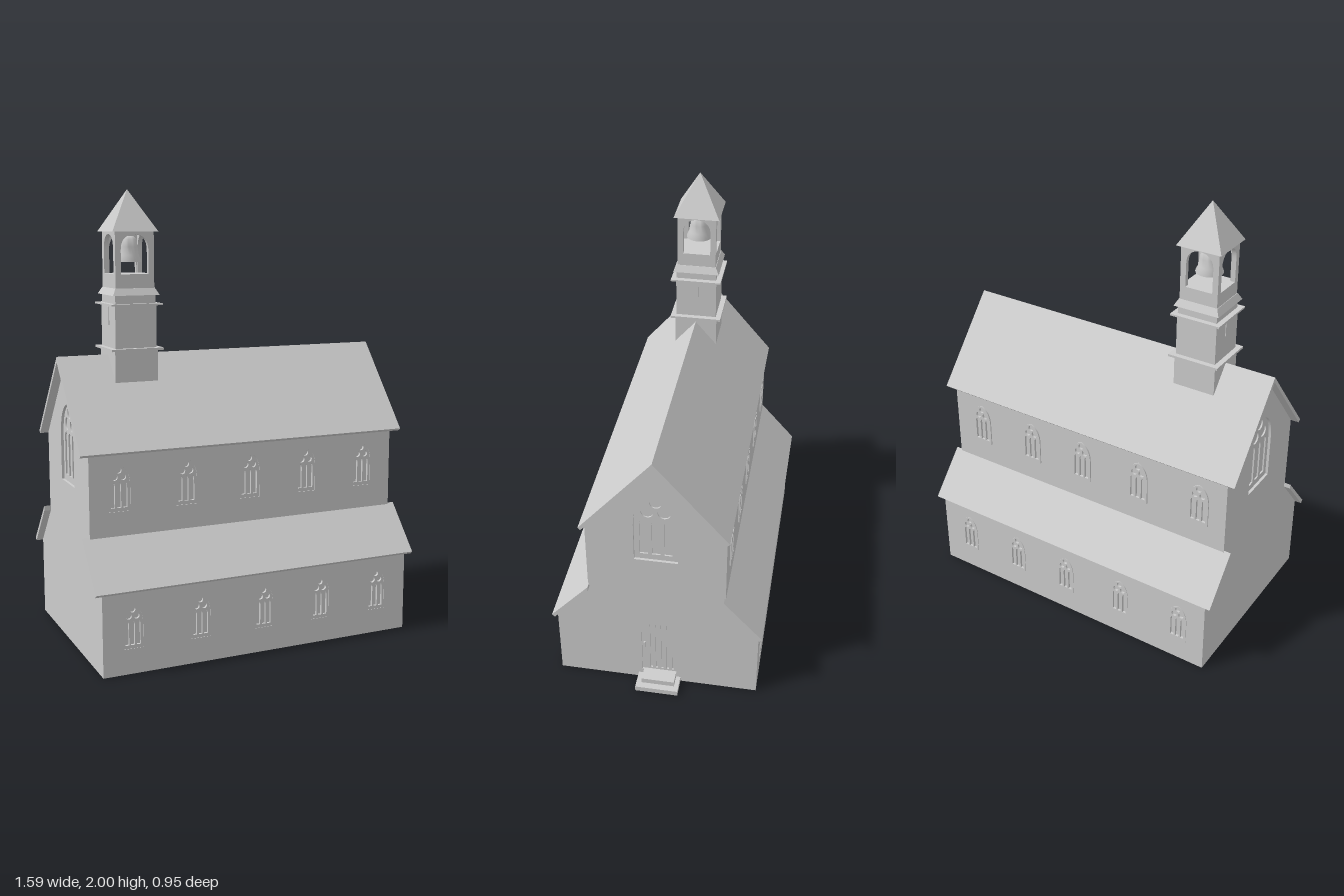
import * as THREE from 'three';
import { toCreasedNormals } from 'three/addons/utils/BufferGeometryUtils.js';

const mat = new THREE.MeshStandardMaterial({ color: 0xcccccc, side: THREE.DoubleSide });
const X0 = -0.757, X1 = 0.70, T = 0.025; // wall ends and wall thickness

function add(parent, name, geo, x = 0, y = 0, z = 0) {
  const m = new THREE.Mesh(geo, mat);
  m.name = name;
  m.position.set(x, y, z);
  parent.add(m);
  return m;
}
function group(parent, name, x = 0, y = 0, z = 0, ry = 0) {
  const g = new THREE.Group();
  g.name = name;
  g.position.set(x, y, z);
  g.rotation.y = ry;
  parent.add(g);
  return g;
}
const box = (w, h, d) => new THREE.BoxGeometry(w, h, d);
const extrude = (shape, depth) => toCreasedNormals(
  new THREE.ExtrudeGeometry(shape, { depth, bevelEnabled: false, curveSegments: 8 }), 0.6);
const poly = pts => new THREE.Shape(pts.map(p => new THREE.Vector2(...p)));
const rect = (x0, y0, x1, y1) => poly([[x0, y0], [x1, y0], [x1, y1], [x0, y1]]);

// Arched outline: centre x, base y, width, height, spring line and crown fullness
function arch(cx, y, w, h, spring = 0.55, full = 0.8) {
  const r = w / 2, s = y + h * spring, top = y + h, c = s + (top - s) * full;
  const p = new THREE.Shape();
  p.moveTo(cx - r, y);
  p.lineTo(cx + r, y);
  p.lineTo(cx + r, s);
  p.quadraticCurveTo(cx + r, c, cx, top);
  p.quadraticCurveTo(cx - r, c, cx - r, s);
  p.closePath();
  return p;
}

// Three lights below three round openings, with a pane behind
function traceryWindow(parent, cx, y, w, h, front) {
  const g = group(parent, 'window', cx, y, 0);
  const frame = arch(0, 0, w, h);
  for (const i of [-1, 0, 1]) {
    frame.holes.push(arch(i * 0.28 * w, 0.08 * h, 0.19 * w, 0.55 * h, 0.85, 0.9));
    const ring = new THREE.Path();
    ring.absarc(i * 0.19 * w, (i ? 0.74 : 0.885) * h, (i ? 0.145 : 0.135) * w, 0, Math.PI * 2);
    frame.holes.push(ring);
  }
  add(g, 'windowTracery', extrude(frame, 0.011), 0, 0, front - 0.011);
  add(g, 'windowPane', extrude(arch(0, 0, w, h), 0.006), 0, 0, -T);
}

// Long wall with a row of five windows, outer face at local z = 0
function sideWall(parent, name, back, z, y0, y1, winY, winW, winH, front) {
  const s = back ? -1 : 1;
  const g = group(parent, name, 0, 0, s * z, back ? Math.PI : 0);
  const wall = back ? rect(-X1, y0, -X0, y1) : rect(X0, y0, X1, y1);
  for (const x of [-0.625, -0.32, -0.02, 0.26, 0.55]) {
    wall.holes.push(arch(s * x, winY, winW, winH));
    traceryWindow(g, s * x, winY, winW, winH, front);
  }
  add(g, name + 'Panel', extrude(wall, T), 0, 0, -T);
}

// End wall following the roof profile, outer face at local z = 0
function endWall(parent, name, x, ry, hasDoor) {
  const g = group(parent, name, x, 0, 0, ry);
  const half = [[0.455, 0], [0.455, 0.358], [0.305, 0.536], [0.305, 0.907]];
  const wall = poly([...half, [0, 1.27], ...half.map(([a, b]) => [-a, b]).reverse()]);
  wall.holes.push(arch(0, 0.73, 0.19, 0.35));
  traceryWindow(g, 0, 0.73, 0.19, 0.35, -0.012);
  if (hasDoor) {
    wall.holes.push(arch(0.008, 0.05, 0.16, 0.305, 0.72, 0.95));
    const leaf = arch(0.008, 0.05, 0.16, 0.305, 0.72, 0.95);
    for (let i = 0; i < 5; i++) {
      const c = -0.03 + i * 0.025, top = 0.338 - Math.max(0, i - 3) * 0.025;
      leaf.holes.push(rect(c - 0.005, 0.06, c + 0.005, top));
    }
    add(g, 'doorPlanks', extrude(leaf, 0.007), 0, 0, -0.015);
    add(g, 'doorBacking', extrude(arch(0.008, 0.05, 0.16, 0.305, 0.72, 0.95), 0.008), 0, 0, -T);
    add(g, 'doorHandle', box(0.007, 0.03, 0.01), -0.06, 0.21, -0.004);
  }
  add(g, name + 'Panel', extrude(wall, T), 0, 0, -T);
}

// Roof profile extruded along x
function roof(parent, name, pts, x0, x1) {
  const g = group(parent, name, x0, 0, 0, Math.PI / 2);
  add(g, name + 'Slab', extrude(poly(pts), x1 - x0));
}

// Square block tapering from half-width a to half-width b
function taper(parent, name, a, b, y0, y1) {
  const geo = new THREE.CylinderGeometry(b * Math.SQRT2, a * Math.SQRT2, y1 - y0, 4, 1).toNonIndexed();
  geo.rotateY(Math.PI / 4);
  geo.computeVertexNormals();
  return add(parent, name, geo, 0, (y0 + y1) / 2, 0);
}

function bellTower(parent) {
  const g = group(parent, 'bellTower', -0.465, 0, 0);
  const blocks = [
    ['towerBase', 0.098, 1.175, 1.312], ['lowerLedge', 0.118, 1.312, 1.322],
    ['towerShaft', 0.094, 1.322, 1.506], ['upperLedge', 0.116, 1.506, 1.514],
    ['towerCollar', 0.092, 1.514, 1.55], ['belfrySill', 0.087, 1.575, 1.6],
  ];
  for (const [name, r, y0, y1] of blocks) {
    add(g, name, box(r * 2, y1 - y0, r * 2), 0, (y0 + y1) / 2, 0);
  }
  taper(g, 'slopedMoulding', 0.106, 0.09, 1.55, 1.58);
  for (const s of [-1, 1]) add(g, 'slitWindow', box(0.006, 0.08, 0.025), s * 0.094, 1.46, 0);

  // Open belfry with an arch on each face
  for (let i = 0; i < 4; i++) {
    const side = group(g, 'belfrySide', 0, 0, 0, i * Math.PI / 2);
    const face = rect(-0.088, 1.58, 0.088, 1.825);
    face.holes.push(arch(0, 1.64, 0.125, 0.17, 0.6, 0.95));
    add(side, 'belfryArch', extrude(face, 0.02), 0, 0, 0.068);
  }
  add(g, 'belfryFloor', box(0.15, 0.04, 0.15), 0, 1.62, 0);
  taper(g, 'spire', 0.104, 0, 1.82, 2.0);

  // Hollow bell
  const profile = [[0, 1.802], [0.025, 1.8], [0.038, 1.788], [0.043, 1.755], [0.048, 1.72],
    [0.059, 1.695], [0.059, 1.69], [0.052, 1.69], [0.041, 1.72], [0.034, 1.78], [0, 1.79]];
  const bell = new THREE.LatheGeometry(profile.map(p => new THREE.Vector2(...p)).reverse(), 28);
  add(g, 'bell', toCreasedNormals(bell, 0.8));
  add(g, 'bellHanger', new THREE.CylinderGeometry(0.01, 0.01, 0.03, 12), 0, 1.812, 0);
  add(g, 'bellClapper', new THREE.SphereGeometry(0.012, 12, 8), 0, 1.7, 0);
}

export function createModel() {
  const model = new THREE.Group();
  model.name = 'chapel';

  // Walls
  for (const back of [false, true]) {
    const n = back ? 'back' : 'front';
    sideWall(model, n + 'AisleWall', back, 0.455, 0, 0.37, 0.11, 0.09, 0.19, back ? 0.003 : -0.002);
    sideWall(model, n + 'UpperWall', back, 0.305, 0.53, 0.915, 0.66, 0.098, 0.2, back ? 0.006 : -0.003);
  }
  endWall(model, 'doorEndWall', X1, Math.PI / 2, true);
  endWall(model, 'farEndWall', X0, -Math.PI / 2, false);

  // Roofs
  roof(model, 'mainRoof', [[0, 1.29], [-0.321, 0.915], [-0.309, 0.904], [0, 1.266],
    [0.309, 0.904], [0.321, 0.915]], -0.795, 0.748);
  for (const s of [-1, 1]) {
    roof(model, 'aisleRoof', [[0.3, 0.56], [0.3, 0.537], [0.46, 0.353], [0.473, 0.365]]
      .map(([a, b]) => [s * a, b]), -0.788, 0.731);
  }

  // Door steps
  add(model, 'lowerStep', box(0.18, 0.025, 0.195), 0.7, 0.0125, -0.008);
  add(model, 'upperStep', box(0.07, 0.025, 0.15), 0.725, 0.0375, -0.01);

  bellTower(model);
  return model;
}
